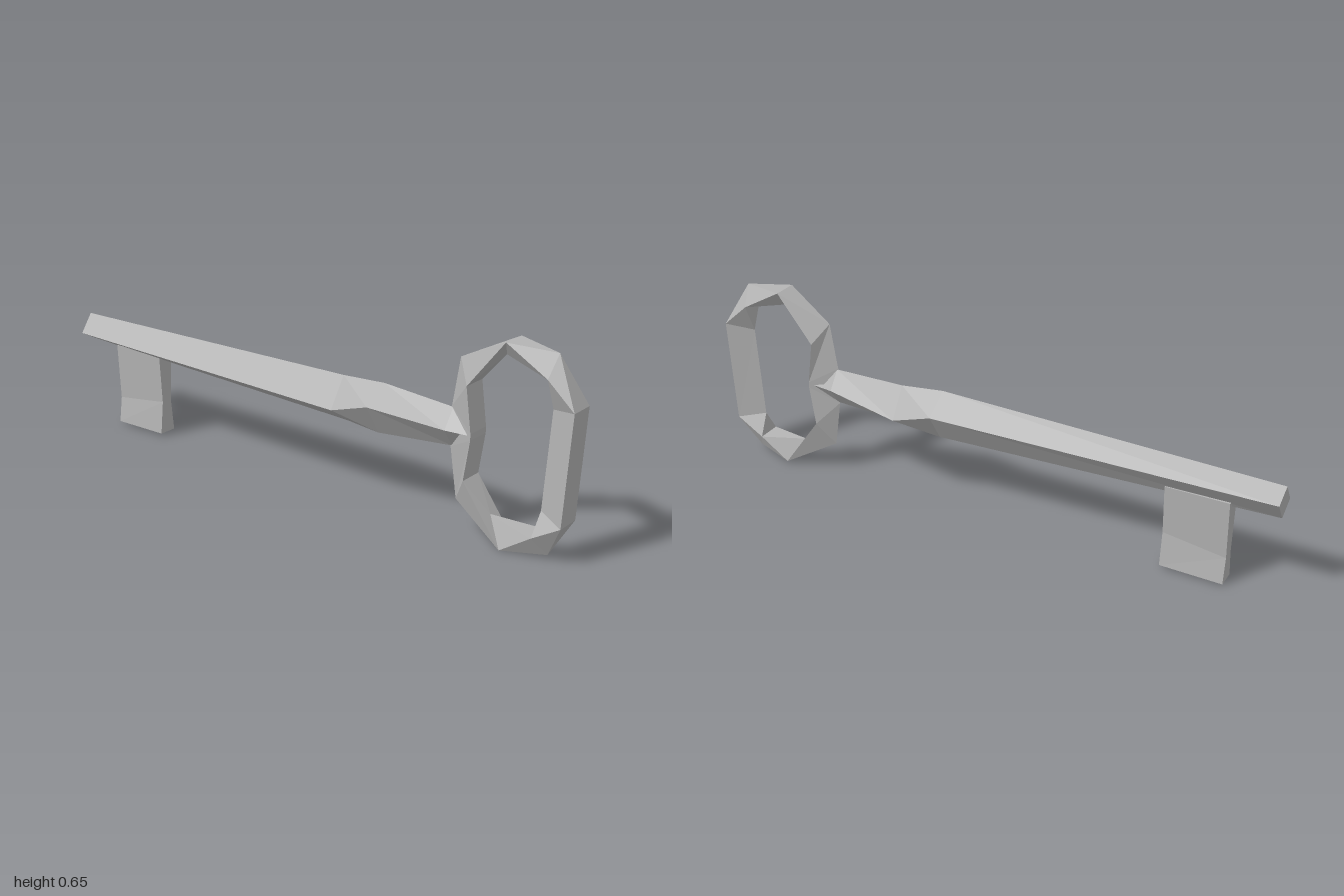
import * as THREE from 'three';

const metal = new THREE.MeshStandardMaterial({ color: 0xb4b4b4 });
metal.name = 'grey metal';

// Unshared corners give every facet its own flat normal.
function facetMesh(name, triangles) {
  const g = new THREE.BufferGeometry();
  g.setAttribute('position', new THREE.Float32BufferAttribute(triangles.flat(2), 3));
  g.computeVertexNormals();
  const mesh = new THREE.Mesh(g, metal);
  mesh.name = name;
  return mesh;
}

// Quad strip between two cross-sections with matching corners.
function bridge(a, b) {
  const out = [];
  a.forEach((p, k) => {
    const n = (k + 1) % a.length;
    out.push([p, a[n], b[n]], [p, b[n], b[k]]);
  });
  return out;
}

// Closed solid through four-cornered sections.
function loft(sections) {
  const out = [];
  for (let i = 0; i + 1 < sections.length; i++) out.push(...bridge(sections[i], sections[i + 1]));
  const s = sections[0], e = sections[sections.length - 1];
  out.push([s[0], s[2], s[1]], [s[0], s[3], s[2]], [e[0], e[1], e[2]], [e[0], e[2], e[3]]);
  return out;
}

// Shaft: diamond sections, [x, centre y, half height, half depth, lean].
function createShaft() {
  const rows = [
    [-0.995, 0.335, 0.05, 0.055, 0.015],
    [0.17, 0.33, 0.08, 0.076, 0.02],
    [0.31, 0.33, 0.078, 0.078, -0.024],
    [0.575, 0.335, 0.062, 0.045, 0],
    [0.655, 0.335, 0.008, 0.035, 0],
  ];
  return facetMesh('shaft', loft(rows.map(([x, y, h, d, s]) => [
    [x, y + h, s * 0.6], [x, y - s, d], [x, y - h, -s * 0.6], [x, y + s, -d],
  ])));
}

// Bit: a plate pinched at mid height, [y, half depth, tilt].
function createBit() {
  const rows = [[0.012, 0.032, 0.002], [0.115, 0.02, 0.015], [0.3, 0.03, 0]];
  const left = -0.84, right = -0.63;
  return facetMesh('bit', loft(rows.map(([y, d, t]) => [
    [left, y - t, -d], [left, y - t, d], [right, y + t, d], [right, y + t, -d],
  ])));
}

// Bow: triangular sections that flip between a wide and a pointed outer side.
function createBow() {
  const w = 0.042;
  const rows = [ // wide outer side, outer x, y, inner x, y
    [false, 0.57, 0.27, 0.665, 0.325],
    [false, 0.57, 0.40, 0.665, 0.345],
    [false, 0.595, 0.56, 0.645, 0.49],
    [true, 0.77, 0.65, 0.75, 0.60],
    [false, 0.92, 0.64, 0.91, 0.57],
    [true, 1.0, 0.49, 0.91, 0.47],
    [true, 0.98, 0.132, 0.89, 0.15],
    [false, 0.92, 0.017, 0.885, 0.075],
    [true, 0.78, 0.004, 0.72, 0.09],
    [false, 0.595, 0.105, 0.645, 0.19],
  ];
  const rings = rows.map(([wide, ox, oy, ix, iy]) => ({
    wide,
    pts: wide
      ? [[ox, oy, w], [ix, iy, 0], [ox, oy, -w]]
      : [[ox, oy, 0], [ix, iy, w], [ix, iy, -w]],
  }));
  const tris = [];
  rings.forEach((a, i) => {
    const b = rings[(i + 1) % rings.length];
    if (a.wide === b.wide) {
      tris.push(...bridge(a.pts, b.pts));
      return;
    }
    // Zigzag between opposite sections
    const [p, q] = a.wide ? [b.pts, a.pts] : [a.pts, b.pts];
    const cycle = [p[0], q[0], p[1], q[1], p[2], q[2]];
    for (let k = 0; k < 6; k++) {
      const u = cycle[k], v = cycle[(k + 1) % 6], x = cycle[(k + 2) % 6];
      tris.push(a.pts.includes(u) ? [u, x, v] : [x, u, v]);
    }
  });
  return facetMesh('bow', tris);
}

export function createModel() {
  const key = new THREE.Group();
  key.name = 'key';
  key.add(createShaft(), createBit(), createBow());
  return key;
}
